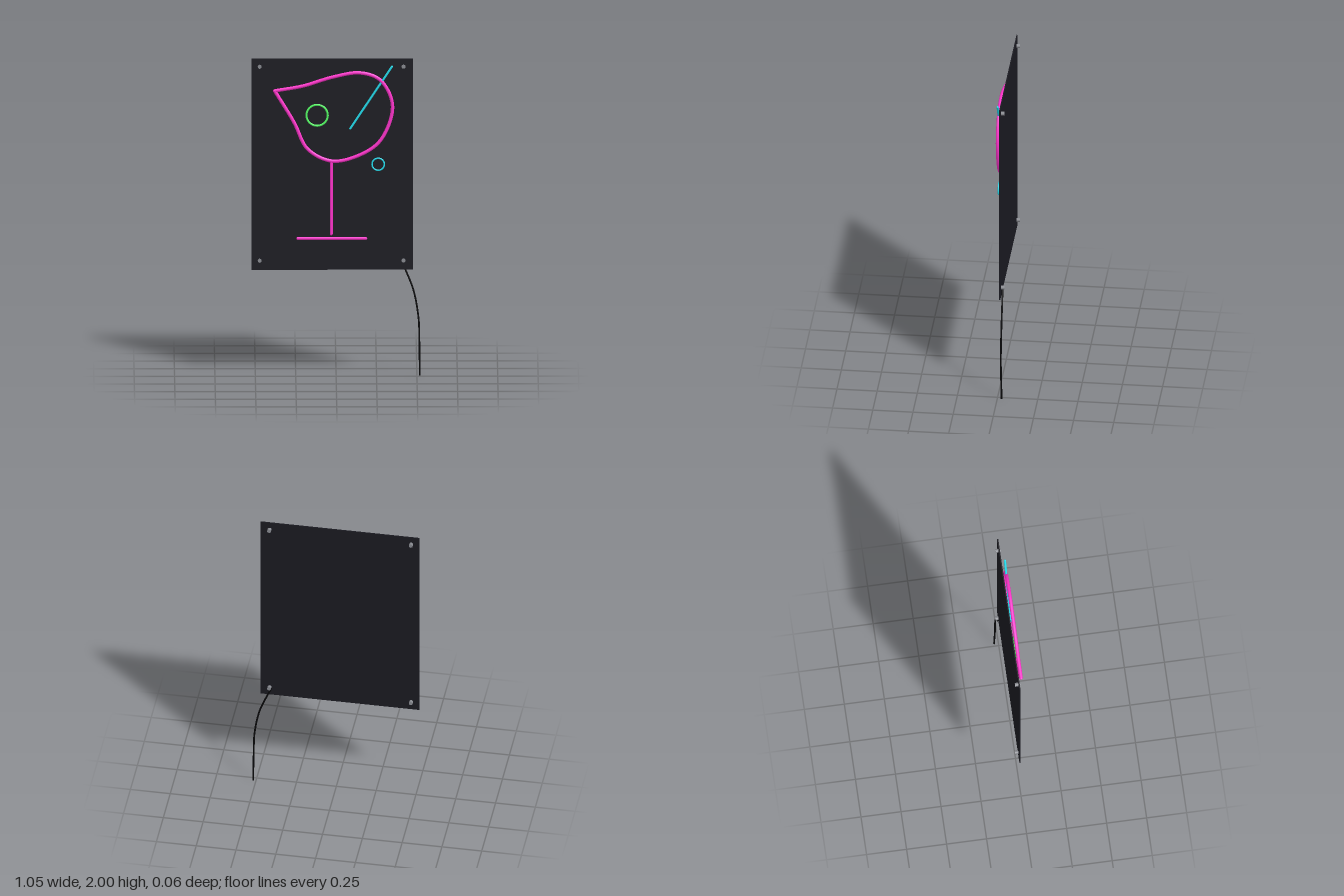
import * as THREE from 'three';

const PINK = 0xff33cc, CYAN = 0x22ddee, GREEN = 0x55ff66;
const TUBE_Z = 0.017;

export function createModel() {
  const model = new THREE.Group();
  model.name = 'neonSign';

  const add = (name, geometry, color, x = 0, y = 0, z = 0, parent = model) => {
    const mesh = new THREE.Mesh(geometry, new THREE.MeshStandardMaterial({ color }));
    mesh.name = name;
    mesh.position.set(x, y, z);
    parent.add(mesh);
    return mesh;
  };

  // Glass tube along a curve, closed by a round cap at each end
  const neonTube = (name, curve, segments, radius, color) => {
    const group = new THREE.Group();
    group.name = name;
    add(name + 'Tube', new THREE.TubeGeometry(curve, segments, radius, 8), color, 0, 0, 0, group);
    for (const t of [0, 1]) {
      const p = curve.getPoint(t);
      add(name + 'Cap', new THREE.SphereGeometry(radius, 8, 6), color, p.x, p.y, p.z, group);
    }
    model.add(group);
  };
  const line = (x1, y1, x2, y2) => new THREE.LineCurve3(
    new THREE.Vector3(x1, y1, TUBE_Z), new THREE.Vector3(x2, y2, TUBE_Z));

  // Backing panel
  add('backPanel', new THREE.BoxGeometry(1, 1.33, 0.007), 0x1a1a21, -0.025, 1.335, -0.01);

  // Corner standoffs through the panel
  for (const x of [-0.473, 0.417]) {
    for (const y of [0.728, 1.95]) {
      const peg = add('standoff', new THREE.CylinderGeometry(0.0125, 0.0125, 0.034, 12), 0x888a90, x, y, -0.017);
      peg.rotation.x = Math.PI / 2;
    }
  }

  // Tilted glass bowl: one loop starting and ending at the sharp lip
  const bowl = new THREE.CatmullRomCurve3([
    [-0.38, 1.802], [-0.204, 1.833], [-0.02, 1.889], [0.15, 1.915], [0.275, 1.868],
    [0.349, 1.705], [0.272, 1.487], [0.13, 1.391], [-0.03, 1.36], [-0.177, 1.436],
    [-0.26, 1.602], [-0.38, 1.802],
  ].map(([x, y]) => new THREE.Vector3(x, y, TUBE_Z)));
  neonTube('glassBowl', bowl, 96, 0.0115 * 0.95, PINK);

  // Stem and foot
  neonTube('glassStem', line(-0.03, 0.9, -0.03, 1.355), 1, 0.009, PINK);
  neonTube('glassFoot', line(-0.238, 0.872, 0.184, 0.872), 1, 0.009, PINK);

  // Straw, olive and bubble
  neonTube('straw', line(0.087, 1.564, 0.345, 1.954), 1, 0.007, CYAN);
  add('olive', new THREE.TorusGeometry(0.066, 0.0065, 8, 40), GREEN, -0.118, 1.648, TUBE_Z);
  add('bubble', new THREE.TorusGeometry(0.038, 0.005, 8, 32), CYAN, 0.26, 1.339, TUBE_Z);

  // Power cord hanging from the lower corner
  const cord = new THREE.CatmullRomCurve3([
    [0.405, 0.72, -0.02], [0.428, 0.67, -0.022], [0.479, 0.537, -0.023],
    [0.51, 0.363, -0.022], [0.515, 0.22, -0.022], [0.518, 0, -0.027],
  ].map(p => new THREE.Vector3(...p)));
  add('powerCord', new THREE.TubeGeometry(cord, 40, 0.0055, 8), 0x08080a)
    .material.side = THREE.DoubleSide;

  return model;
}
